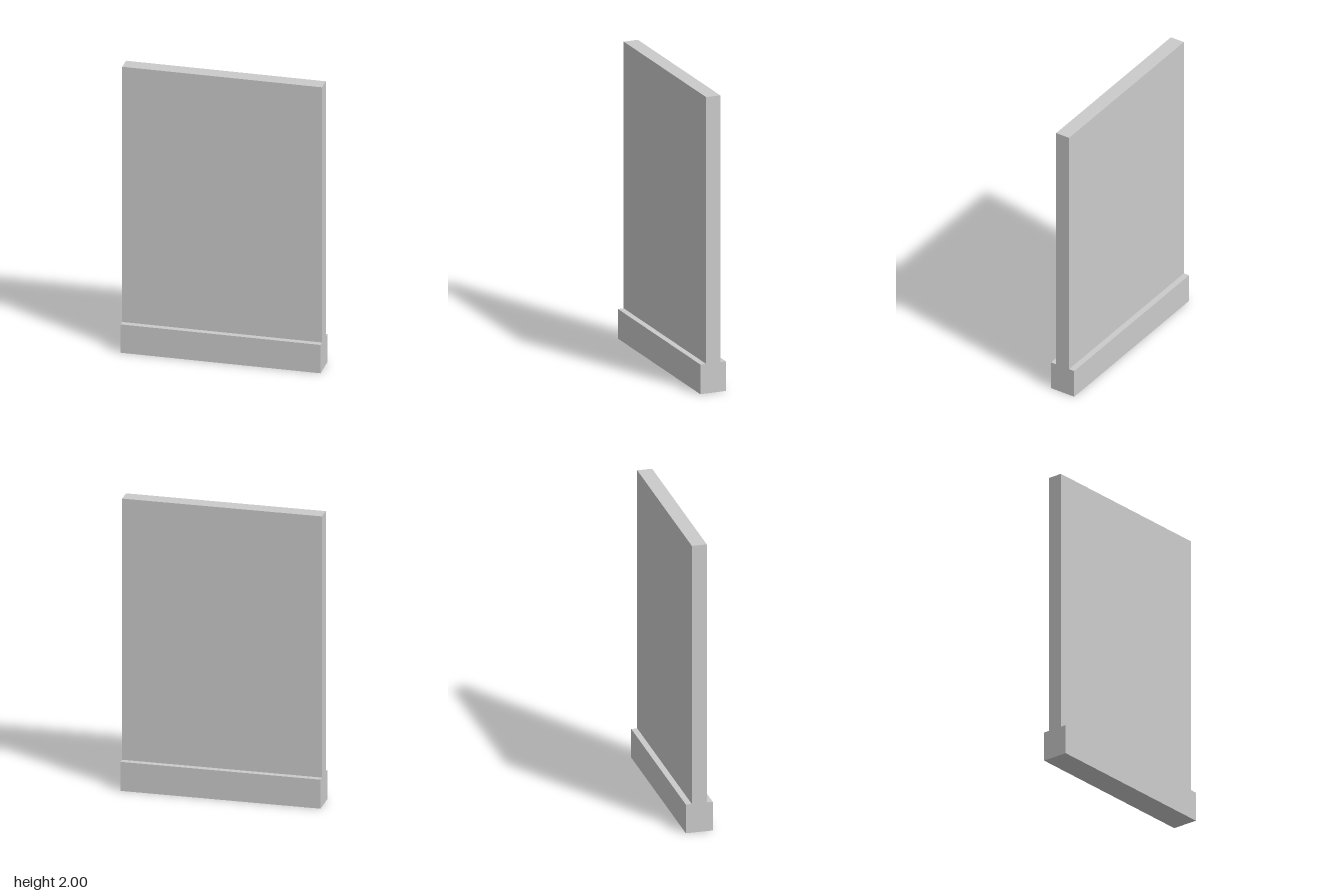
import * as THREE from 'three';

const WIDTH = 1.33;
const BASE_HEIGHT = 0.2;
const TOTAL_HEIGHT = 2;

export function createModel() {
  const model = new THREE.Group();
  model.name = 'wallPanel';
  const material = new THREE.MeshStandardMaterial({ color: 0xcccccc });

  // Full-width slab standing between two heights
  const addSlab = (name, bottom, top, depth) => {
    const slab = new THREE.Mesh(new THREE.BoxGeometry(WIDTH, top - bottom, depth), material);
    slab.name = name;
    slab.position.y = (bottom + top) / 2;
    model.add(slab);
  };

  // Thicker plinth with the thin wall resting on it
  addSlab('plinth', 0, BASE_HEIGHT, 0.18);
  addSlab('wall', BASE_HEIGHT, TOTAL_HEIGHT, 0.1);

  return model;
}
